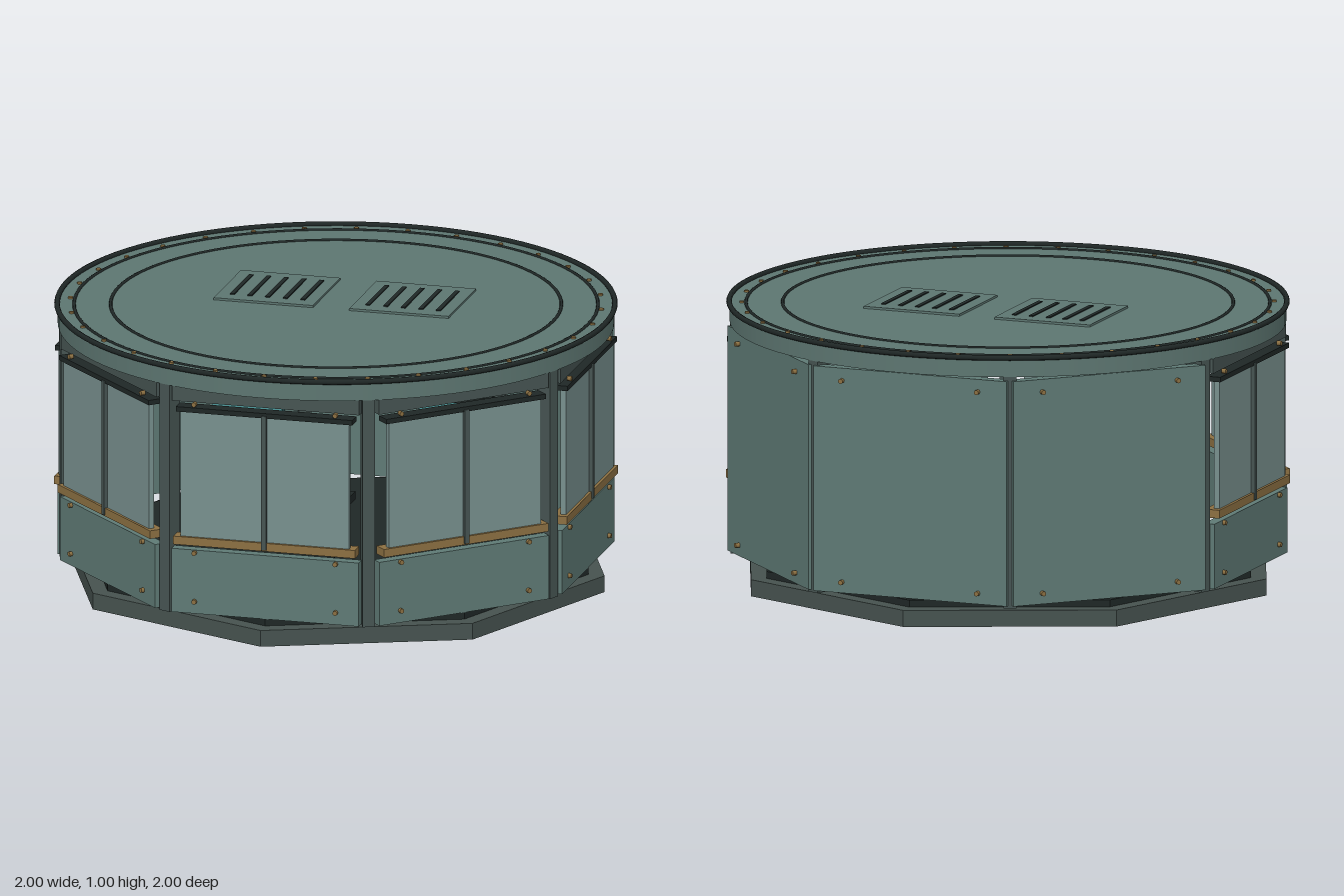
import * as THREE from 'three';

const mat = (color) => new THREE.MeshStandardMaterial({ color });
const M = {
  hull: mat(0x5f7a75), roof: mat(0x5d7671), post: mat(0x465452), base: mat(0x46524f),
  dark: mat(0x1f2726), glass: mat(0x78908e), brass: mat(0x8c7042), screen: mat(0x4f9a9c),
};

function add(parent, name, geometry, material, x = 0, y = 0, z = 0) {
  const mesh = new THREE.Mesh(geometry, material);
  mesh.name = name;
  mesh.position.set(x, y, z);
  parent.add(mesh);
  return mesh;
}

// Box given by half width, bottom, top, back and front
function slab(parent, name, material, half, y0, y1, z0, z1, x = 0) {
  return add(parent, name, new THREE.BoxGeometry(half * 2, y1 - y0, z1 - z0), material,
    x, (y0 + y1) / 2, (z0 + z1) / 2);
}

const boltGeometry = new THREE.CylinderGeometry(0.009, 0.009, 0.016, 8);

// Bolts on both ends of a panel at the given heights
function bolts(parent, heights) {
  for (const y of heights) for (const x of [-0.26, 0.26]) {
    add(parent, 'wallBolt', boltGeometry, M.brass, x, y, 0.934).rotation.x = Math.PI / 2;
  }
}

function windowBay() {
  const bay = new THREE.Group();
  bay.name = 'windowBay';
  slab(bay, 'lowerPanel', M.hull, 0.345, 0.085, 0.32, 0.89, 0.93);
  slab(bay, 'sill', M.brass, 0.335, 0.34, 0.37, 0.89, 0.945);
  slab(bay, 'windowPane', M.glass, 0.31, 0.37, 0.835, 0.915, 0.935);
  slab(bay, 'mullion', M.post, 0.009, 0.345, 0.84, 0.905, 0.95);
  slab(bay, 'windowHead', M.dark, 0.325, 0.832, 0.85, 0.89, 0.945);
  slab(bay, 'header', M.post, 0.345, 0.865, 0.92, 0.885, 0.925);
  bolts(bay, [0.13, 0.31, 0.86]);
  return bay;
}

function solidBay() {
  const bay = new THREE.Group();
  bay.name = 'solidBay';
  slab(bay, 'solidPanel', M.hull, 0.37, 0.09, 0.905, 0.885, 0.925);
  bolts(bay, [0.13, 0.86]);
  return bay;
}

function ventGrille() {
  const vent = new THREE.Group();
  vent.name = 'ventGrille';
  slab(vent, 'ventPlate', M.roof, 0.183, 0.98, 0.994, -0.18, 0.18);
  for (let i = -2; i <= 2; i++) {
    slab(vent, 'ventSlot', M.dark, 0.008, 0.985, 0.998, -0.125, 0.125, i * 0.065);
  }
  return vent;
}

function flatRing(parent, name, radius, tube, y) {
  const ring = add(parent, name, new THREE.TorusGeometry(radius, tube, 8, 96), M.dark, 0, y, 0);
  ring.rotation.x = Math.PI / 2;
}

export function createModel() {
  const model = new THREE.Group();
  model.name = 'observationRoom';

  // Eight-sided plinth and floor
  const octagon = (r, h) => new THREE.CylinderGeometry(r, r, h, 8).toNonIndexed();
  const plinth = octagon(0.99, 0.06), floor = octagon(0.93, 0.025);
  plinth.computeVertexNormals();
  floor.computeVertexNormals();
  add(model, 'plinth', plinth, M.base, 0, 0.03, 0);
  add(model, 'floor', floor, M.dark, 0, 0.0725, 0);

  // Wall bays: three solid at the back, five with windows; a post at each corner
  for (let i = 0; i < 8; i++) {
    const bay = i >= 3 && i <= 5 ? solidBay() : windowBay();
    bay.rotation.y = i * Math.PI / 4;
    model.add(bay);
    const a = (i + 0.5) * Math.PI / 4;
    const post = add(model, 'cornerPost', new THREE.BoxGeometry(0.045, 0.84, 0.06), M.post,
      Math.sin(a) * 0.955, 0.5, Math.cos(a) * 0.955);
    post.rotation.y = a;
  }

  // Round roof with rim, inlaid rings and bolts
  add(model, 'roof', new THREE.CylinderGeometry(0.988, 0.988, 0.066, 96), M.roof, 0, 0.953, 0);
  flatRing(model, 'roofRim', 0.99, 0.01, 0.99);
  flatRing(model, 'outerRoofRing', 0.93, 0.006, 0.986);
  flatRing(model, 'innerRoofRing', 0.8, 0.006, 0.986);
  for (let i = 0; i < 32; i++) {
    const a = i * Math.PI / 16;
    add(model, 'roofBolt', boltGeometry, M.brass, Math.sin(a) * 0.945, 0.984, Math.cos(a) * 0.945);
  }

  // Roof vents
  for (const x of [-0.25, 0.25]) {
    const vent = ventGrille();
    vent.position.set(x, 0, -0.115);
    model.add(vent);
  }

  // Seat
  slab(model, 'seat', M.dark, 0.1, 0.3, 0.33, 0.1, 0.28);
  add(model, 'seatPedestal', new THREE.CylinderGeometry(0.03, 0.05, 0.22, 12), M.dark, 0, 0.195, 0.19);
  const back = slab(model, 'seatBack', M.dark, 0.1, 0.33, 0.49, 0.28, 0.31);
  back.rotation.x = -0.1;

  // Display bank hung from the roof
  for (const s of [-1, 1]) {
    slab(model, 'display', M.screen, 0.13, 0.44, 0.6, -0.22, -0.19, s * 0.38);
    for (const y of [0.42, 0.6]) {
      slab(model, 'displayFrame', M.dark, 0.14, y, y + 0.025, -0.23, -0.18, s * 0.38);
    }
    slab(model, 'displayHanger', M.post, 0.012, 0.62, 0.92, -0.215, -0.195, s * 0.28);
  }
  return model;
}
